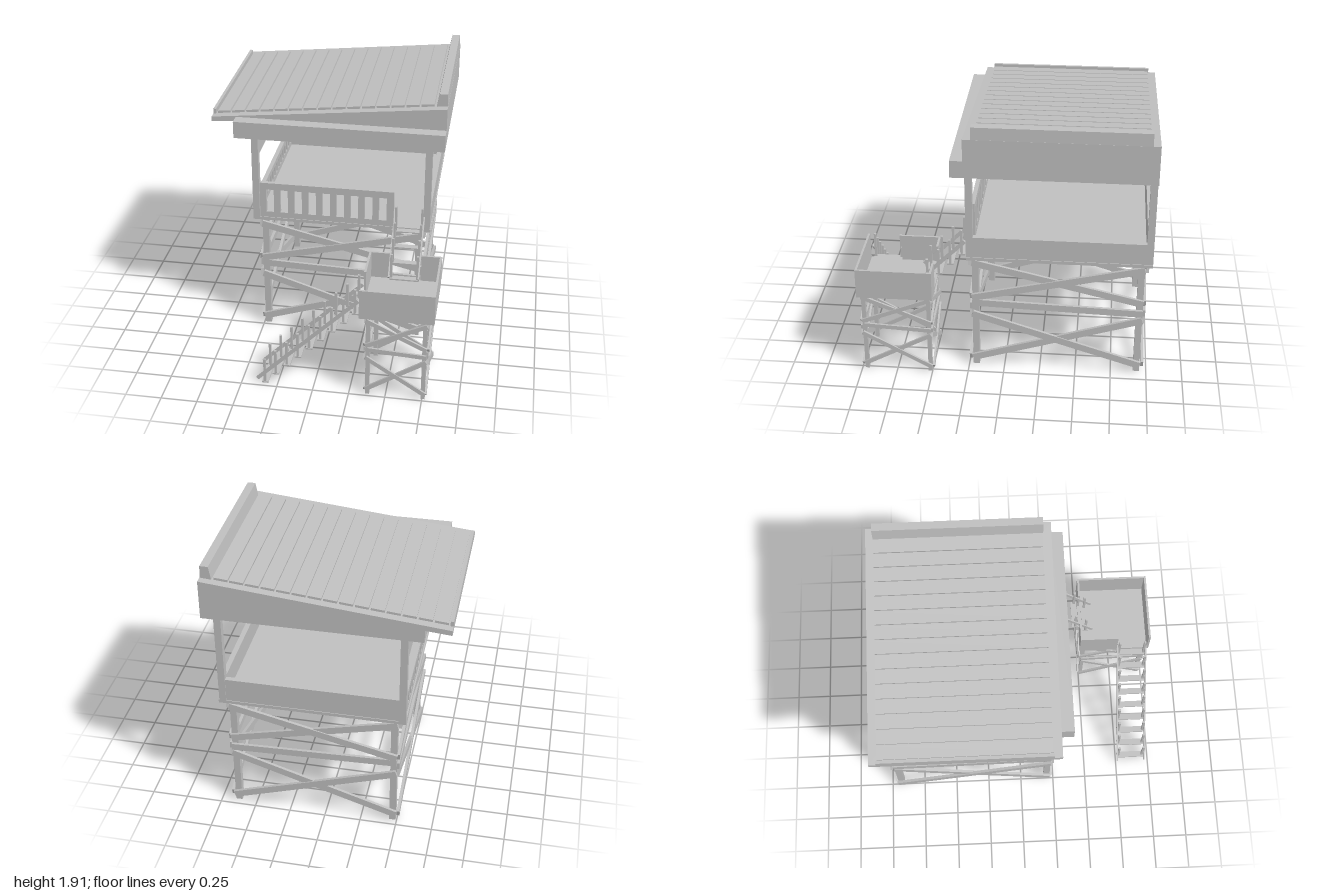
import * as THREE from 'three';

const wood = new THREE.MeshStandardMaterial({ color: 0xbfbfbf });
wood.name = 'plain grey';

function add(parent, name, geometry) {
  const mesh = new THREE.Mesh(geometry, wood);
  mesh.name = name;
  parent.add(mesh);
  return mesh;
}

// Box given by its low and high corners
function box(parent, name, [x0, y0, z0], [x1, y1, z1]) {
  const mesh = add(parent, name, new THREE.BoxGeometry(x1 - x0, y1 - y0, z1 - z0));
  mesh.position.set((x0 + x1) / 2, (y0 + y1) / 2, (z0 + z1) / 2);
  return mesh;
}

// Straight timber between two points
function beam(parent, name, a, b, height, thick) {
  const p = new THREE.Vector3(...a), q = new THREE.Vector3(...b);
  const mesh = add(parent, name, new THREE.BoxGeometry(thick, height, p.distanceTo(q)));
  mesh.position.copy(p).add(q).multiplyScalar(0.5);
  mesh.lookAt(q);
  return mesh;
}

function prism(points, z0, z1) {
  const shape = new THREE.Shape(points.map(([x, y]) => new THREE.Vector2(x, y)));
  return new THREE.ExtrudeGeometry(shape, { depth: z1 - z0, bevelEnabled: false }).translate(0, 0, z0);
}

// Railing board with a row of cut slots
function slottedPanel(parent, name, length, y0, y1, slotY0, slotY1, count, first, pitch, width, thick) {
  const shape = new THREE.Shape([[0, y0], [length, y0], [length, y1], [0, y1]].map(p => new THREE.Vector2(...p)));
  for (let i = 0; i < count; i++) {
    const x = first + i * pitch;
    shape.holes.push(new THREE.Path(
      [[x, slotY0], [x, slotY1], [x + width, slotY1], [x + width, slotY0]].map(p => new THREE.Vector2(...p))));
  }
  return add(parent, name, new THREE.ExtrudeGeometry(shape, { depth: thick, bevelEnabled: false }));
}

// Four legs with crossed braces on every side
function trestle(name, x0, x1, z0, z1, top, legSize, braceH, braceT) {
  const g = new THREE.Group();
  g.name = name;
  const h = legSize / 2;
  for (const x of [x0, x1]) for (const z of [z0, z1])
    box(g, 'leg', [x - h, 0, z - h], [x + h, top, z + h]);
  const rows = [[0.07, 0.49], [0.49, 0.07], [0.59, 0.55], [0.64, 0.95], [0.95, 0.64]];
  rows.forEach(([a, b], i) => {
    const off = h + braceT * (i % 2 ? 0.8 : 0.4);
    const ya = a * top, yb = b * top;
    for (const [z, s] of [[z0, -1], [z1, 1]])
      beam(g, 'brace', [x0 - h, ya, z + s * off], [x1 + h, yb, z + s * off], braceH, braceT);
    for (const [x, s] of [[x0, -1], [x1, 1]])
      beam(g, 'brace', [x + s * off, ya, z1 + h], [x + s * off, yb, z0 - h], braceH, braceT);
  });
  return g;
}

// Stair climbing along local +x at 45 degrees, centred on z = 0
function stair(name, count, pitch, width) {
  const g = new THREE.Group();
  g.name = name;
  const half = width / 2, run = (count - 1) * pitch;
  for (let i = 0; i < count; i++) {
    const d = i * pitch;
    box(g, 'tread', [d - 0.02, d, -half], [d + 0.025, d + 0.01, half]);
    for (const z of [-half + 0.012, half - 0.012])
      box(g, 'baluster', [d - 0.008, d, z - 0.008], [d + 0.008, d + 0.19, z + 0.008]);
  }
  for (const z of [-half, half])
    beam(g, 'rail', [-0.05, 0.035, z], [run + 0.025, run + 0.11, z], 0.024, 0.01);
  return g;
}

export function createModel() {
  const model = new THREE.Group();
  model.name = 'lookout tower';

  model.add(trestle('mainTrestle', -0.47, 0.63, -0.93, 0.2, 0.89, 0.045, 0.05, 0.02));

  // Cabin deck, walls and corner posts
  const cabin = new THREE.Group();
  cabin.name = 'cabin';
  model.add(cabin);
  box(cabin, 'floor', [-0.55, 0.89, -1], [0.71, 0.912, 0.255]);
  box(cabin, 'rightWall', [0.67, 0.9, -0.96], [0.705, 1.065, 0.22]);
  box(cabin, 'backWall', [-0.51, 0.9, -0.995], [0.67, 1.08, -0.96]);
  for (const x of [-0.55, 0.658]) for (const z of [-1, 0.208])
    box(cabin, 'cornerPost', [x, 0.89, z], [x + 0.047, 1.56, z + 0.047]);
  slottedPanel(cabin, 'frontRailing', 0.95, 0.9, 1.18, 0.955, 1.13, 9, 0.045, 0.1, 0.055, 0.03)
    .position.set(-0.5, 0, 0.22);
  const left = slottedPanel(cabin, 'leftRailing', 1.18, 0.9, 1.065, 0.95, 1.03, 15, 0.04, 0.075, 0.045, 0.03);
  left.rotation.y = -Math.PI / 2;
  left.position.set(-0.51, 0, -0.97);
  box(cabin, 'leftHeader', [-0.545, 1.375, -0.955], [-0.51, 1.56, 0.21]);

  // Lean-to roof
  const roof = new THREE.Group();
  roof.name = 'roof';
  model.add(roof);
  add(roof, 'roofBody', prism([[-0.82, 1.63], [-0.65, 1.645], [-0.65, 1.555], [0.79, 1.555],
    [0.79, 1.828], [-0.82, 1.665]], -1, 0.255));
  box(roof, 'frontBeam', [-0.65, 1.555, 0.25], [0.79, 1.675, 0.34]);
  box(roof, 'eaveTrim', [-0.82, 1.64, -0.95], [-0.8, 1.7, 0.2]);
  add(roof, 'ridgeCap', prism([[0.71, 1.8], [0.79, 1.8], [0.785, 1.912], [0.73, 1.912]], -0.95, 0.2));
  const slope = 0.163 / 1.61;
  for (let i = 0; i < 15; i++) {
    const x = -0.745 + i * 0.1;
    const plank = add(roof, 'roofPlank', new THREE.BoxGeometry(0.088, 0.02, 1.14));
    plank.position.set(x, 1.671 + (x + 0.82) * slope, -0.375);
    plank.rotation.z = Math.atan(slope);
  }

  // Half-way landing with openings for both stairs
  const landing = new THREE.Group();
  landing.name = 'landing';
  model.add(landing);
  const trestleSmall = trestle('landingTrestle', 0.375, 0.755, 0.515, 0.965, 0.63, 0.028, 0.03, 0.014);
  landing.add(trestleSmall);
  const lo = 0.62, hi = 0.835, t = 0.015;
  box(landing, 'landingFloor', [0.315, lo, 0.48], [0.815, lo + 0.02, 1]);
  box(landing, 'landingFrontWall', [0.315, lo, 1 - t], [0.815, hi, 1]);
  box(landing, 'landingRightWall', [0.815 - t, lo, 0.48], [0.815, hi, 1 - t]);
  box(landing, 'landingLeftWall', [0.315, lo, 0.48], [0.315 + t, hi, 0.76]);
  box(landing, 'landingBackWall', [0.315 + t, lo, 0.48], [0.455, hi, 0.48 + t]);
  box(landing, 'landingBackWall', [0.675, lo, 0.48], [0.815 - t, hi, 0.48 + t]);

  // Stairs: ground to landing, landing to cabin
  const lower = stair('lowerStair', 9, 0.078, 0.21);
  lower.position.set(-0.34, 0.002, 0.865);
  model.add(lower);
  const upper = stair('upperStair', 4, 0.08, 0.205);
  upper.rotation.y = Math.PI / 2;
  upper.position.set(0.563, 0.66, 0.53);
  model.add(upper);

  return model;
}
